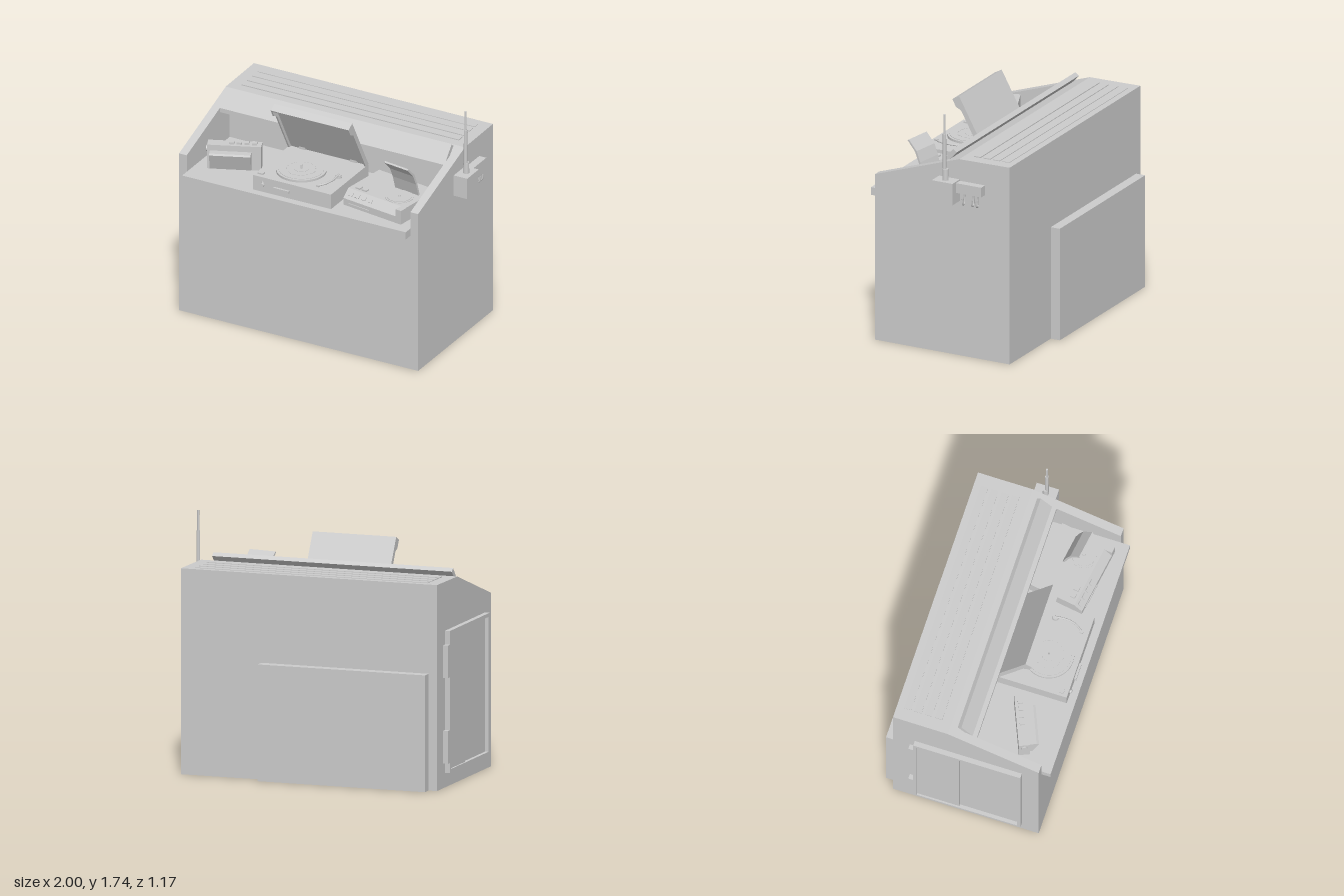
import * as THREE from 'three';

const mat = new THREE.MeshStandardMaterial({ color: 0xcccccc, flatShading: true, side: THREE.DoubleSide });
const smooth = new THREE.MeshStandardMaterial({ color: 0xcccccc, side: THREE.DoubleSide });

function add(parent, name, geo, x = 0, y = 0, z = 0, m = mat) {
  const mesh = new THREE.Mesh(geo, m);
  mesh.name = name;
  mesh.position.set(x, y, z);
  parent.add(mesh);
  return mesh;
}
// Box given by its limits on each axis
function box(parent, name, x0, x1, y0, y1, z0, z1) {
  return add(parent, name, new THREE.BoxGeometry(x1 - x0, y1 - y0, z1 - z0), (x0 + x1) / 2, (y0 + y1) / 2, (z0 + z1) / 2);
}
// Side profile of [z, y] points, extruded from x0 to x1
function prism(parent, name, pts, x0, x1) {
  const shape = new THREE.Shape(pts.map(p => new THREE.Vector2(p[0], p[1])));
  const geo = new THREE.ExtrudeGeometry(shape, { depth: x1 - x0, bevelEnabled: false });
  geo.rotateY(-Math.PI / 2).translate(x1, 0, 0);
  return add(parent, name, geo);
}
function cyl(parent, name, r0, r1, h, x, y, z, n = 16) {
  return add(parent, name, new THREE.CylinderGeometry(r1, r0, h, n), x, y + h / 2, z);
}
function tube(parent, name, pts, r) {
  const curve = new THREE.CatmullRomCurve3(pts.map(p => new THREE.Vector3(...p)));
  return add(parent, name, new THREE.TubeGeometry(curve, 14, r, 8), 0, 0, 0, smooth);
}
function group(parent, name, x, y, z, ry = 0) {
  const g = new THREE.Group();
  g.name = name;
  g.position.set(x, y, z);
  g.rotation.y = ry;
  parent.add(g);
  return g;
}

function cabinet(root) {
  const g = group(root, 'cabinet', 0, 0, 0);
  const L = -0.905, R = 0.835, X0 = -0.965, X1 = 0.895, T = 0.003;
  const top = [[0.52, 1.195], [-0.13, 1.415], [-0.52, 1.42]];
  const side = [[-0.52, 0], [0.52, 0], ...top];
  const cheek = [[-0.52, 1.015], [0.52, 1.015], ...top];
  // Thin shell, open underneath, with thick cheeks beside the recess
  prism(g, 'rightWall', side, X0, X0 + T);
  prism(g, 'leftWall', side, X1 - T, X1);
  prism(g, 'rightCheek', cheek, X0 + T, L);
  prism(g, 'leftCheek', cheek, R, X1 - T);
  box(g, 'frontWall', X0 + T, X1 - T, 0, 1.015, 0.52 - T, 0.52);
  box(g, 'backWall', X0 + T, X1 - T, 0, 1.42, -0.52, -0.52 + T);
  box(g, 'shelf', L, R, 1.015, 1.07, -0.08, 0.585);
  box(g, 'recessBack', L, R, 1.07, 1.37, -0.08, -0.077);
  prism(g, 'roof', [[0.06, 1.351], [-0.13, 1.415], [-0.52, 1.42], [-0.52, 1.39], [-0.13, 1.385], [0.06, 1.32]], L, R);
  for (let i = 0; i < 4; i++) {
    const z = -0.197 - i * 0.074;
    box(g, 'ventSlat', -0.88, 0.81, 1.41, 1.423, z - 0.052, z);
  }
  // Tilted flap above the recess
  prism(g, 'flap', [[0.03, 1.36], [-0.052, 1.457], [-0.078, 1.435], [0.005, 1.345]], L, R);
  box(g, 'backPanel', L, 0.31, 0, 0.805, -0.59, -0.52);

  // Side door with frame, inset leaves and hinges
  const door = group(g, 'sideDoor', 0, 0, 0);
  box(door, 'frameTop', -1, X0, 1.055, 1.08, -0.365, 0.4);
  box(door, 'frameBottom', -1, X0, 0.1, 0.125, -0.365, 0.4);
  box(door, 'frameRear', -1, X0, 0.125, 1.055, -0.365, -0.34);
  box(door, 'frameFront', -1, X0, 0.125, 1.055, 0.375, 0.4);
  box(door, 'rearLeaf', -0.988, X0, 0.125, 1.055, -0.34, -0.04);
  box(door, 'frontLeaf', -0.975, X0, 0.125, 1.055, -0.04, 0.375);
  for (const y of [0.17, 0.76]) box(door, 'hinge', -1, X0, y, y + 0.225, -0.4, -0.365);
}

function turntable(root) {
  const g = group(root, 'turntable', -0.08, 1.07, 0);
  box(g, 'base', -0.303, 0.303, 0, 0.11, 0.01, 0.53);
  box(g, 'frontSlot', -0.14, -0.02, 0.04, 0.06, 0.53, 0.545);
  const knob = cyl(g, 'frontKnob', 0.015, 0.015, 0.014, -0.23, 0.047, 0.537);
  knob.rotation.x = Math.PI / 2;
  add(g, 'knobTip', new THREE.ConeGeometry(0.012, 0.03, 4), -0.23, 0.075, 0.53);
  box(g, 'startButton', -0.285, -0.245, 0.11, 0.12, 0.47, 0.5);
  cyl(g, 'platter', 0.172, 0.172, 0.016, -0.045, 0.11, 0.32, 48);
  cyl(g, 'record', 0.155, 0.155, 0.003, -0.045, 0.126, 0.32, 48);
  cyl(g, 'label', 0.05, 0.05, 0.002, -0.045, 0.129, 0.32, 24);
  cyl(g, 'spindle', 0.008, 0.006, 0.03, -0.045, 0.13, 0.32, 12);
  for (let i = 0; i < 20; i++) {
    const a = i * Math.PI / 10;
    const dot = box(g, 'strobeMark', -0.01, 0.01, 0.128, 0.131, -0.003, 0.003);
    dot.position.x = -0.045 + 0.1 * Math.cos(a);
    dot.position.z = 0.32 + 0.1 * Math.sin(a);
    dot.rotation.y = -a + Math.PI / 2;
  }
  // Tonearm
  cyl(g, 'armPivot', 0.022, 0.02, 0.022, 0.222, 0.11, 0.28);
  tube(g, 'toneArm', [[0.222, 0.132, 0.275], [0.228, 0.132, 0.36], [0.212, 0.13, 0.43], [0.178, 0.126, 0.48]], 0.007);
  box(g, 'armHead', 0.165, 0.186, 0.12, 0.132, 0.468, 0.492);

  // Open lid, a shallow tray hinged at the back
  const lid = group(g, 'lid', 0, 0.115, 0.01);
  lid.rotation.x = -1.065;
  box(lid, 'lidPanel', -0.303, 0.303, -0.014, 0, 0, 0.465);
  const rim = [[0, 0], [0.465, 0], [0.465, -0.06], [0.405, -0.06], [0.37, -0.035], [0, -0.035]];
  prism(lid, 'lidRimRight', rim, -0.303, -0.291);
  prism(lid, 'lidRimLeft', rim, 0.291, 0.303);
  box(lid, 'lidRimFront', -0.291, 0.291, -0.06, -0.012, 0.453, 0.465);
  for (const x of [-0.2, 0.2]) box(g, 'lidHinge', x - 0.025, x + 0.025, 0.1, 0.125, 0, 0.035);
}

function cassettePlayer(root) {
  const g = group(root, 'cassettePlayer', -0.655, 1.07, 0.3, 0.4);
  box(g, 'body', -0.185, 0.185, 0, 0.18, -0.038, 0.038);
  // Cassette door, hinged below and tilted outwards
  prism(g, 'openDoor', [[0.038, 0.008], [0.055, 0.008], [0.102, 0.13], [0.085, 0.137], [0.038, 0.137]], -0.165, 0.118);
  for (let i = 0; i < 4; i++) {
    const x = -0.02 + i * 0.052;
    box(g, 'button', x - 0.017, x + 0.017, 0.18, 0.195, -0.018, 0.016);
  }
  const dial = cyl(g, 'sideDial', 0.022, 0.022, 0.012, -0.188, 0.13, 0);
  dial.rotation.z = Math.PI / 2;
}

function discPlayer(root) {
  const g = group(root, 'discPlayer', 0.535, 1.07, 0.27, -0.15);
  prism(g, 'body', [[-0.2, 0], [0.197, 0], [0.197, 0.05], [0.14, 0.105], [-0.2, 0.105]], -0.247, 0.247);
  cyl(g, 'discWell', 0.098, 0.098, 0.004, 0.11, 0.104, 0.035, 32);
  cyl(g, 'disc', 0.085, 0.085, 0.003, 0.11, 0.108, 0.035, 32);
  cyl(g, 'discHub', 0.012, 0.01, 0.01, 0.11, 0.11, 0.035, 12);
  // Bent open lid
  prism(g, 'openLid', [[-0.075, 0.1], [-0.045, 0.205], [-0.015, 0.28], [0.052, 0.35], [0.062, 0.342], [0.0, 0.274], [-0.032, 0.2], [-0.06, 0.1]], 0.0, 0.2);
  for (let i = 0; i < 4; i++) {
    const b = box(g, 'frontButton', -0.02, 0.02, -0.004, 0.004, -0.014, 0.014);
    b.position.set(-0.205 + i * 0.055, 0.081, 0.168);
    b.rotation.x = 0.767;
  }
  for (const x of [-0.185, -0.13]) box(g, 'topButton', x - 0.019, x + 0.019, 0.105, 0.116, 0.085, 0.12);
  box(g, 'frontSlot', -0.2, -0.02, 0.012, 0.025, 0.197, 0.203);
  box(g, 'sideGrip', 0.205, 0.25, 0.02, 0.105, 0.14, 0.199);
}

function antennaMount(root) {
  const g = group(root, 'antennaMount', 0, 0, 0);
  box(g, 'mountBox', 0.895, 1, 1.115, 1.27, -0.135, 0.025);
  cyl(g, 'antennaBase', 0.022, 0.02, 0.08, 0.948, 1.27, -0.053);
  cyl(g, 'antennaLower', 0.013, 0.012, 0.25, 0.948, 1.35, -0.045, 12);
  cyl(g, 'antennaUpper', 0.008, 0.007, 0.14, 0.948, 1.6, -0.045, 12);
  box(g, 'hookRail', 0.895, 0.95, 1.19, 1.26, -0.33, -0.135);
  for (const z of [-0.18, -0.25, -0.285]) {
    tube(g, 'hook', [[0.912, 1.195, z], [0.908, 1.15, z + 0.004], [0.918, 1.108, z], [0.938, 1.112, z - 0.004], [0.944, 1.15, z - 0.004]], 0.007);
  }
}

export function createModel() {
  const root = new THREE.Group();
  root.name = 'musicCabinet';
  cabinet(root);
  turntable(root);
  cassettePlayer(root);
  discPlayer(root);
  antennaMount(root);
  return root;
}
